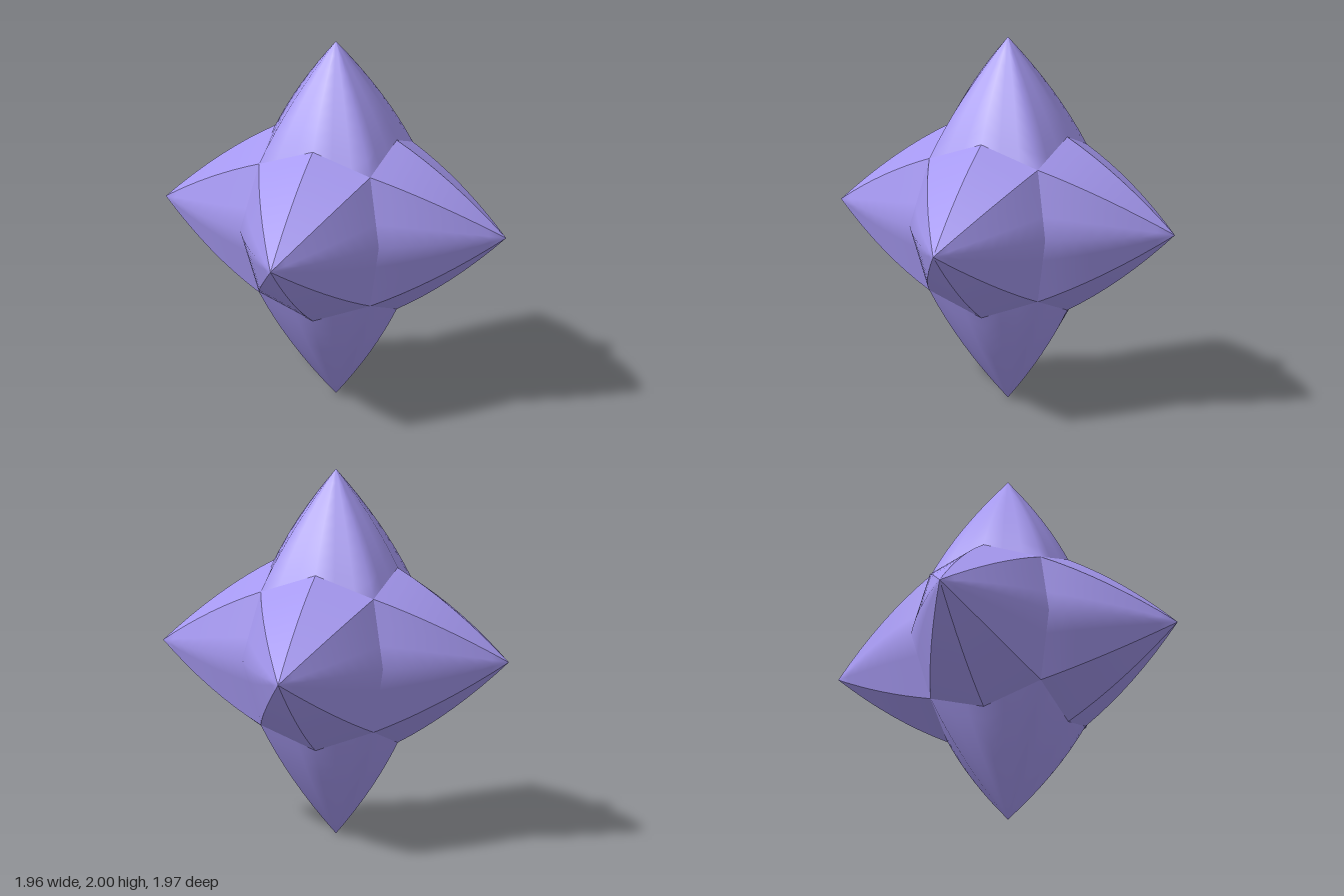
import * as THREE from 'three';
import { mergeVertices, toCreasedNormals } from 'three/addons/utils/BufferGeometryUtils.js';

const TIPS = [0.98, 1, 0.985];            // spike lengths along x, y, z
const CORNER = [0.32, 0.365, 0.32];       // where three spikes meet in an octant
const VALLEYS = [[0.35, 0.48, 0], [0, 0.48, 0.35], [0.4, 0, 0.4]]; // xy, yz, zx
const ROWS = 8, STEPS = 3;

// One quarter of a spike: a slightly convex patch from the valley line to the tip
function addPatch(out, axis, signs) {
  const b = (axis + 1) % 3, c = (axis + 2) % 3;
  const corners = [VALLEYS[axis], CORNER, VALLEYS[c]];
  const point = (u, row) => {
    const h = Math.min(Math.floor(u / STEPS), 1), f = u / STEPS - h, t = row / ROWS;
    const p = [0, 1, 2].map(i => corners[h][i] * (1 - f) + corners[h + 1][i] * f);
    const shrink = (1 - t) * (1 + 0.27 * t);
    p[axis] += (TIPS[axis] - p[axis]) * t;
    p[b] *= shrink;
    p[c] *= shrink;
    return p.map((v, i) => v * signs[i]);
  };
  const flip = signs[0] * signs[1] * signs[2] < 0;
  const tri = (p, q, r) => out.push(...p, ...(flip ? r : q), ...(flip ? q : r));
  for (let row = 0; row < ROWS; row++) {
    for (let u = 0; u < STEPS * 2; u++) {
      const p = point(u, row), q = point(u + 1, row);
      const r = point(u + 1, row + 1), s = point(u, row + 1);
      tri(p, q, r);
      if (row < ROWS - 1) tri(p, r, s);
    }
  }
}

// Four patches mirrored around one axis
function makeSpike(axis, dir) {
  const out = [], b = (axis + 1) % 3, c = (axis + 2) % 3;
  for (const sb of [1, -1]) {
    for (const sc of [1, -1]) {
      const signs = [0, 0, 0];
      signs[axis] = dir;
      signs[b] = sb;
      signs[c] = sc;
      addPatch(out, axis, signs);
    }
  }
  const geo = new THREE.BufferGeometry();
  geo.setAttribute('position', new THREE.Float32BufferAttribute(out, 3));
  // Upright spikes are rounded, level ones keep sharp ridges
  return toCreasedNormals(mergeVertices(geo), axis === 1 ? 1.0 : 0.6);
}

export function createModel() {
  const star = new THREE.Group();
  star.name = 'sixPointedStar';
  const material = new THREE.MeshStandardMaterial({ color: 0xa598f0 });
  const names = [['leftSpike', 'rightSpike'], ['topSpike', 'bottomSpike'], ['frontSpike', 'backSpike']];
  names.forEach((pair, axis) => pair.forEach((name, i) => {
    const spike = new THREE.Mesh(makeSpike(axis, i ? -1 : 1), material);
    spike.name = name;
    spike.position.y = 1;
    star.add(spike);
  }));
  return star;
}
